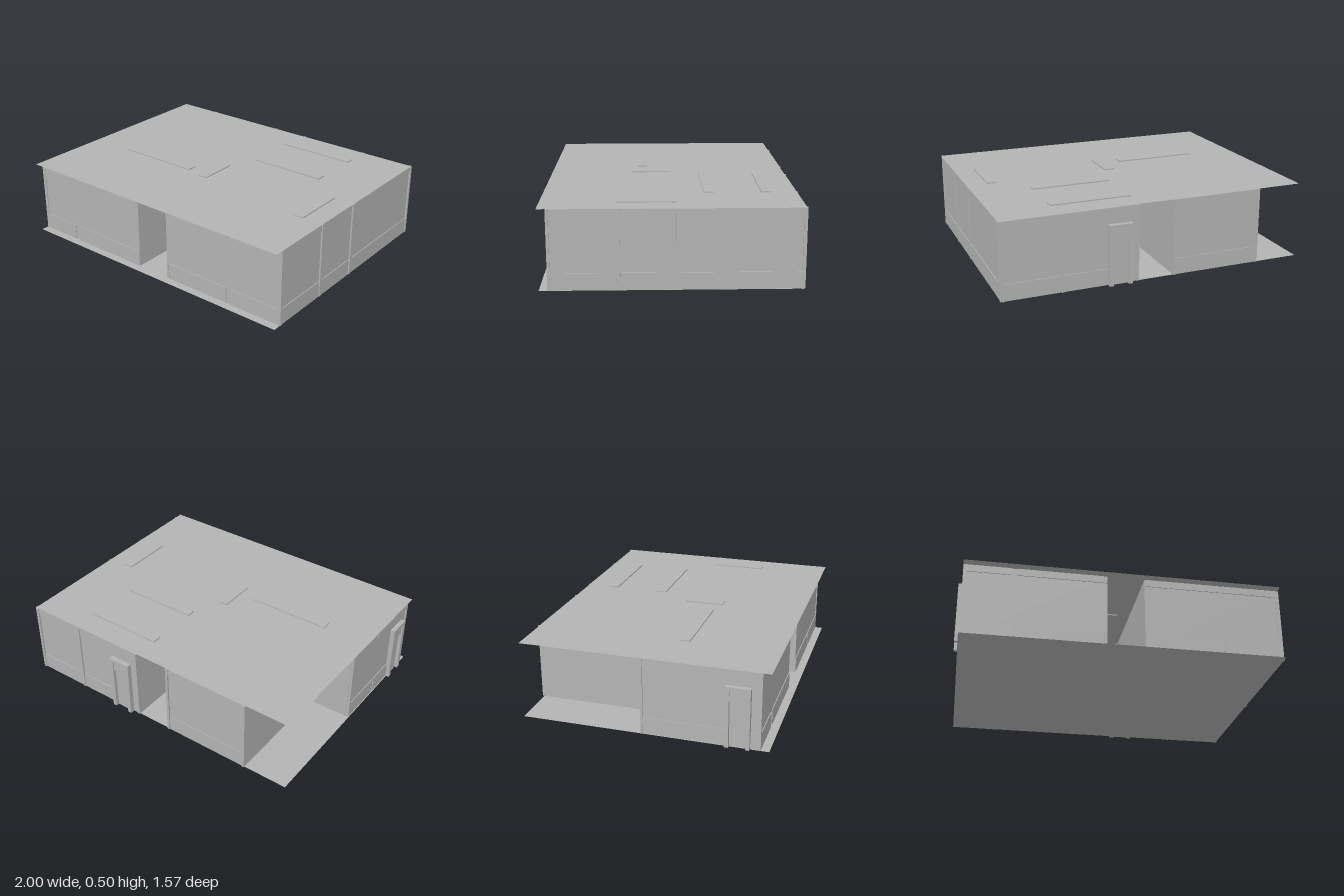
import * as THREE from 'three';

export function createModel() {
  const model = new THREE.Group();
  model.name = 'building';
  const grey = new THREE.MeshStandardMaterial({ color: 0xb4b4b4, side: THREE.DoubleSide });
  grey.name = 'plain grey';
  const TOP = 0.486, BAND_LOW = 0.105, BAND_HIGH = 0.44;

  // Box given by its limits on each axis
  function box(name, x0, x1, y0, y1, z0, z1, parent = model) {
    const mesh = new THREE.Mesh(new THREE.BoxGeometry(x1 - x0, y1 - y0, z1 - z0), grey);
    mesh.position.set((x0 + x1) / 2, (y0 + y1) / 2, (z0 + z1) / 2);
    mesh.name = name;
    parent.add(mesh);
  }

  // Box on a wall: a..b runs along the wall, p..q is its depth
  function along(name, axis, a, b, y0, y1, p, q, parent) {
    const lo = Math.min(p, q), hi = Math.max(p, q);
    if (axis === 'x') box(name, a, b, y0, y1, lo, hi, parent);
    else box(name, lo, hi, y0, y1, a, b, parent);
  }

  // Outer wall with a skirting and a top band, split at the panel joints
  function outerWall(name, axis, face, out, panels, joints, postOut) {
    const g = new THREE.Group();
    g.name = name;
    model.add(g);
    const back = face - out * 0.005;
    const start = panels[0][0], end = panels[panels.length - 1][1];
    along('wallCore', axis, start, end, 0.001, TOP, back, face - out * 0.02, g);
    for (const [a, b] of panels) {
      along('skirting', axis, a, b, 0.001, BAND_LOW, back, face, g);
      along('topBand', axis, a, b, BAND_HIGH, TOP, back, face, g);
    }
    for (const j of joints)
      along('jointPost', axis, j - 0.008, j + 0.008, 0.001, TOP, back, face + out * postOut, g);
  }

  // Floor and roof sheets
  for (const [name, y] of [['floor', 0], ['roof', 0.487]]) {
    const sheet = new THREE.Mesh(new THREE.PlaneGeometry(1.97, 1.534), grey);
    sheet.rotation.x = -Math.PI / 2;
    sheet.position.set(0.005, y, 0.016);
    sheet.name = name;
    model.add(sheet);
  }

  // Outer walls
  outerWall('frontWallRight', 'x', 0.732, 1, [[-0.965, -0.69], [-0.655, -0.12], [-0.119, -0.103]], [], 0);
  outerWall('frontWallLeft', 'x', 0.732, 1, [[0.13, 0.146], [0.15, 0.605], [0.625, 0.985]], [], 0);
  outerWall('backWallLeft', 'x', -0.754, -1, [[0.13, 0.605], [0.625, 0.985]], [0.138, 0.615, 0.977], 0.006);
  outerWall('backWallRight', 'x', -0.754, -1, [[-0.69, -0.12], [-0.119, -0.103]], [-0.682, -0.111], 0.006);
  outerWall('leftWall', 'z', 0.99, 1,
    [[-0.754, -0.035], [-0.005, 0.31], [0.33, 0.732]], [-0.02, 0.32, -0.746, 0.724], 0.005);
  outerWall('rightWall', 'z', -0.975, -1, [[0.005, 0.31], [0.33, 0.732]], [0.013, 0.724], 0.003);

  // Walls of the passage, the open corner and the rooms: axis, position, from, to
  const inner = [
    ['z', -0.11, -0.745, 0.722], ['z', 0.138, -0.745, 0.722],
    ['z', -0.682, -0.745, 0.01], ['x', 0.01, -0.96, -0.11],
    ['x', 0.32, -0.96, -0.11], ['z', -0.67, 0.32, 0.722],
    ['x', -0.02, 0.138, 0.975], ['x', 0.32, 0.138, 0.975],
    ['z', 0.615, -0.745, -0.02], ['z', 0.615, 0.32, 0.722],
  ];
  for (const [axis, p, a, b] of inner)
    along('innerWall', axis, a, b, 0.001, TOP, p - 0.008, p + 0.008, model);

  // Door frames: two jambs, a deep lintel and a door leaf
  function door(name, axis, a, b, face, out) {
    const g = new THREE.Group();
    g.name = name;
    model.add(g);
    const front = face + out * 0.031;
    along('jamb', axis, a, a + 0.025, 0.001, 0.385, face, front, g);
    along('jamb', axis, b - 0.025, b, 0.001, 0.385, face, front, g);
    along('lintel', axis, a + 0.025, b - 0.025, 0.36, 0.385, face, front, g);
    along('panelAboveDoor', axis, a + 0.025, b - 0.025, 0.29, 0.36, face, face + out * 0.022, g);
    along('doorLeaf', axis, a + 0.025, b - 0.025, 0.001, 0.29, face, face + out * 0.008, g);
  }
  door('backDoor', 'x', 0.18, 0.33, -0.754, -1);
  door('sideDoor', 'z', 0.52, 0.67, -0.969, -1);

  // Raised strips on the roof
  const strips = [
    [-0.67, -0.12, 0.155, 0.22], [-0.015, 0.05, 0, 0.25], [0.115, 0.63, -0.245, -0.185],
    [0.115, 0.63, -0.595, -0.535], [0.8, 0.86, -0.015, 0.335],
  ];
  for (const [x0, x1, z0, z1] of strips) box('roofStrip', x0, x1, 0.48, 0.495, z0, z1);

  return model;
}
